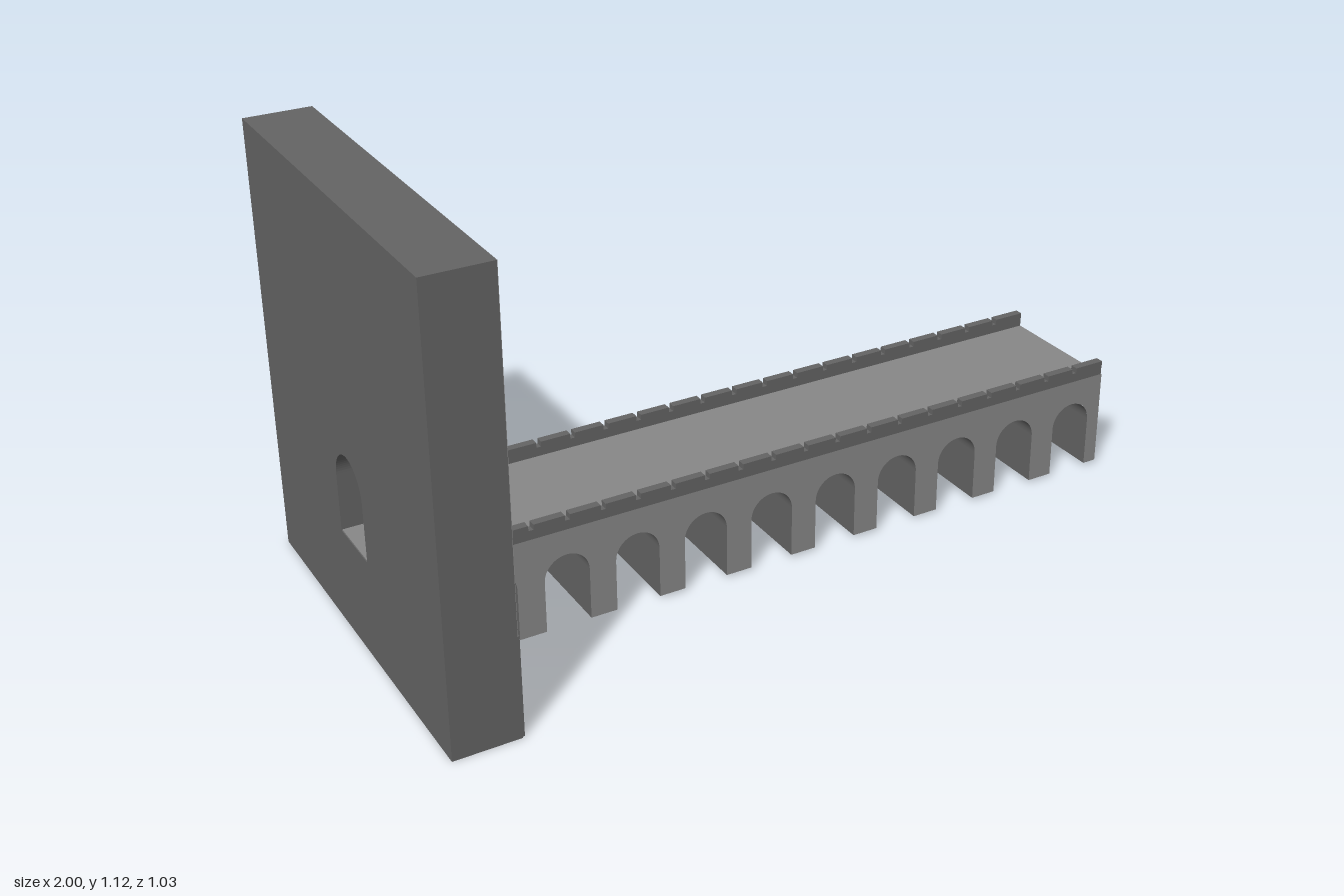
import * as THREE from 'three';

const mat = (name, color, side = THREE.FrontSide) => {
  const m = new THREE.MeshStandardMaterial({ color, side });
  m.name = name;
  return m;
};

export function createModel() {
  const light = mat('light stone', 0x888888, THREE.DoubleSide);
  const dark = mat('dark stone', 0x646464, THREE.DoubleSide);
  const iron = mat('pale iron', 0xbdbdbd);

  const root = new THREE.Group();
  root.name = 'gatehouseBridge';
  const group = (name) => {
    const g = new THREE.Group();
    g.name = name;
    root.add(g);
    return g;
  };
  const add = (parent, name, geo, m, x = 0, y = 0, z = 0) => {
    const mesh = new THREE.Mesh(geo, m);
    mesh.name = name;
    mesh.position.set(x, y, z);
    parent.add(mesh);
    return mesh;
  };
  // box from its two extreme corners
  const box = (parent, name, m, x0, x1, y0, y1, z0, z1) =>
    add(parent, name, new THREE.BoxGeometry(x1 - x0, y1 - y0, z1 - z0), m,
      (x0 + x1) / 2, (y0 + y1) / 2, (z0 + z1) / 2);
  // geometry drawn in the z-y plane, facing +x
  const faceX = (geo) => geo.rotateY(Math.PI / 2);

  // round-topped doorway outline
  const doorway = (Type, r, y0, spring) => {
    const s = new Type();
    s.moveTo(-r, y0);
    s.lineTo(r, y0);
    s.lineTo(r, spring);
    s.absarc(0, spring, r, 0, Math.PI, false);
    s.lineTo(-r, y0);
    return s;
  };
  const rect = (w, y0, y1) => {
    const s = new THREE.Shape();
    s.moveTo(-w, y0);
    s.lineTo(w, y0);
    s.lineTo(w, y1);
    s.lineTo(-w, y1);
    s.closePath();
    return s;
  };

  // ---- wall with gate opening ----
  const WALL = -0.835, FLOOR = 0.258, SPRING = 0.405, R = 0.08;
  const wall = group('wall');
  const wallShape = rect(0.515, 0, 1.117);
  wallShape.holes.push(doorway(THREE.Path, R, FLOOR, SPRING));
  add(wall, 'wallBody', faceX(new THREE.ExtrudeGeometry(wallShape,
    { depth: WALL + 1, bevelEnabled: false, curveSegments: 20 })), dark, -1);
  const faceShape = rect(0.515, 0.256, 1.117);
  faceShape.holes.push(doorway(THREE.Path, R, FLOOR, SPRING));
  add(wall, 'wallUpperFace', faceX(new THREE.ShapeGeometry(faceShape, 20)), light, WALL + 0.001);
  box(wall, 'wallFooting', dark, WALL - 0.01, -0.829, 0, 0.256, -0.511, 0.511);
  box(wall, 'passageFloor', light, -0.998, WALL, FLOOR - 0.004, FLOOR + 0.002, -R, R);

  // ---- gate surround ----
  const gate = group('gate');
  const frame = doorway(THREE.Shape, 0.098, FLOOR, SPRING);
  frame.holes.push(doorway(THREE.Path, R, 0.272, SPRING));
  add(gate, 'gateFrame', faceX(new THREE.ExtrudeGeometry(frame,
    { depth: 0.015, bevelEnabled: false, curveSegments: 20 })), dark, WALL - 0.001);
  box(gate, 'threshold', dark, -0.84, -0.823, 0.2, 0.256, -R, R);

  // ---- portcullis ----
  const portcullis = group('portcullis');
  const GX = -0.85, T = 0.006;
  const chord = (d) => Math.sqrt(Math.max(0, R * R - d * d));
  for (let i = -2; i <= 2; i++) {
    const z = i * 0.03;
    box(portcullis, 'uprightBar', iron, GX, GX + T, 0.3, SPRING + chord(z), z - 0.007, z + 0.007);
    const spike = new THREE.Shape([[-0.006, 0.312], [-0.009, 0.3], [0, 0.273], [0.009, 0.3], [0.006, 0.312]]
      .map(([x, y]) => new THREE.Vector2(x, y)));
    add(portcullis, 'spike', faceX(new THREE.ExtrudeGeometry(spike,
      { depth: T + 0.002, bevelEnabled: false })), iron, GX - 0.001, 0, z);
  }
  for (let j = 0; j < 6; j++) {
    const y = 0.314 + j * 0.0295;
    const w = y > SPRING ? chord(y - SPRING) : R;
    box(portcullis, 'crossBar', iron, GX + 0.001, GX + T + 0.001, y - 0.007, y + 0.007, -w, w);
  }

  // ---- bridge: hollow shell with ten arches, open at its far end ----
  const bridge = group('bridge');
  const X0 = -0.83, X1 = 1, Y0 = 0.007, TOP = 0.264, HALF = 0.185;
  const ARCHES = 10, PITCH = 0.1835, AR = 0.0575, AS = 0.141;
  const centres = Array.from({ length: ARCHES }, (_, i) => -0.746 + i * PITCH);

  const side = new THREE.Shape();
  side.moveTo(X0, Y0);
  for (const c of centres) {
    side.lineTo(c - AR, Y0);
    side.lineTo(c - AR, AS);
    side.absarc(c, AS, AR, Math.PI, 0, true);
    side.lineTo(c + AR, Y0);
  }
  side.lineTo(X1, Y0);
  side.lineTo(X1, TOP);
  side.lineTo(X0, TOP);
  side.closePath();
  for (const s of [1, -1]) {
    const m = add(bridge, s > 0 ? 'frontFacade' : 'backFacade',
      new THREE.ShapeGeometry(side, 16), light, 0, 0, s * HALF);
    if (s < 0) {
      // turn the rear sheet outward by reversing its winding
      m.geometry.index.array.reverse();
      m.geometry.computeVertexNormals();
    }
  }

  // arch lining: a strip bent along the arch outline
  const N = 18;
  const lining = new THREE.PlaneGeometry(1, 2 * HALF, N, 1);
  const pos = lining.attributes.position;
  for (let k = 0; k < pos.count; k++) {
    const i = k % (N + 1), z = k <= N ? -HALF : HALF;
    if (i === 0 || i === N) pos.setXYZ(k, i ? AR : -AR, Y0, z);
    else {
      const a = Math.PI * (1 - (i - 1) / (N - 2));
      pos.setXYZ(k, Math.cos(a) * AR, AS + Math.sin(a) * AR, z);
    }
  }
  lining.index.array.reverse();
  lining.computeVertexNormals();
  centres.forEach((c) => add(bridge, 'archLining', lining, dark, c));

  // pier undersides between the arches
  for (let i = 0; i <= ARCHES; i++) {
    const a = i ? centres[i - 1] + AR : X0;
    const b = i < ARCHES ? centres[i] - AR : X1;
    add(bridge, 'pierBase', new THREE.PlaneGeometry(b - a, 2 * HALF).rotateX(Math.PI / 2),
      dark, (a + b) / 2, Y0);
  }

  // roadway
  add(bridge, 'deck', new THREE.PlaneGeometry(X1 - X0, 2 * HALF).rotateX(-Math.PI / 2),
    light, (X0 + X1) / 2, TOP - 0.002);

  // ---- parapets with evenly spaced cap blocks ----
  const parapets = group('parapets');
  const BLOCKS = 20, step = (X1 - X0) / BLOCKS, GAP = 0.013;
  for (const s of [1, -1]) {
    const zIn = 0.163, zOut = 0.182;
    const z0 = Math.min(s * zIn, s * zOut), z1 = Math.max(s * zIn, s * zOut);
    box(parapets, 'parapetRail', dark, X0, X1, TOP - 0.002, 0.286, z0, z1);
    for (let i = 0; i < BLOCKS; i++) {
      const a = X0 + i * step + (i ? GAP / 2 : 0);
      const b = X0 + (i + 1) * step - (i < BLOCKS - 1 ? GAP / 2 : 0);
      box(parapets, 'parapetBlock', dark, a, b, 0.286, 0.3, z0 - 0.001, z1 + 0.001);
    }
  }
  return root;
}
